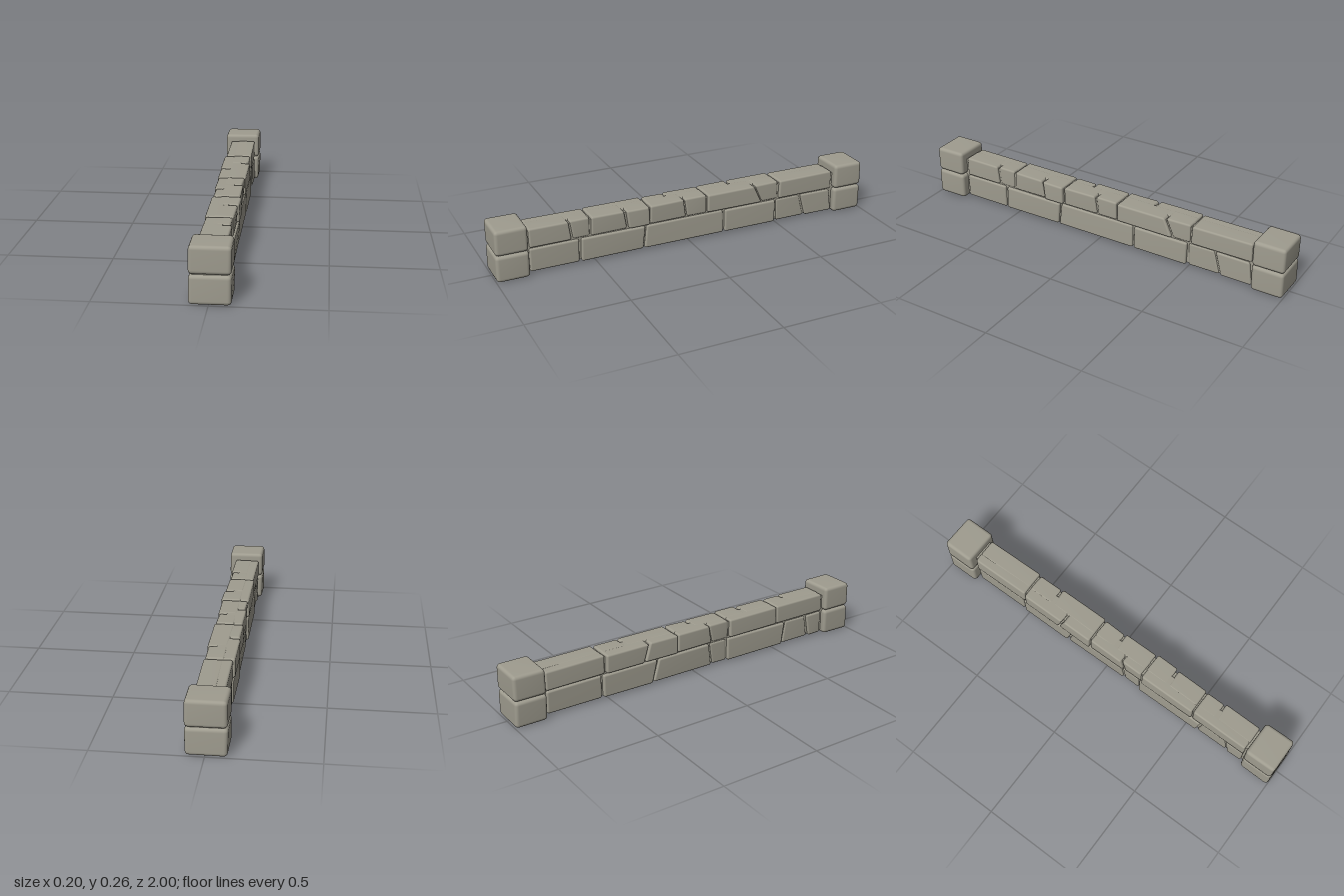
import * as THREE from 'three';
import { mergeVertices } from 'three/addons/utils/BufferGeometryUtils.js';
import { RoundedBoxGeometry } from 'three/addons/geometries/RoundedBoxGeometry.js';

export function createModel() {
  const wall = new THREE.Group();
  wall.name = 'stoneWall';
  const stone = new THREE.MeshStandardMaterial({ color: 0x9f9c8f });
  stone.name = 'warm grey stone';

  // small seeded generator for the hand-cut unevenness
  let seed = 7;
  const rand = () => (seed = (seed * 16807) % 2147483647) / 2147483647;

  // A worn block between two corners: rounded edges, each corner pulled slightly inward.
  // slantMin / slantMax lean the two z ends along y.
  function addStone(parent, name, min, max, radius, wear, slantMin = 0, slantMax = 0) {
    const size = max.map((v, i) => v - min[i]);
    const box = new RoundedBoxGeometry(...size, 2, radius);
    box.deleteAttribute('normal');
    box.deleteAttribute('uv');
    box.clearGroups();
    const geo = mergeVertices(box, 1e-5);
    const pulls = Array.from({ length: 8 }, () => [rand() * wear, rand() * wear * 0.5, rand() * wear]);
    const p = geo.attributes.position;
    for (let i = 0; i < p.count; i++) {
      const v = [p.getX(i), p.getY(i), p.getZ(i)];
      const t = v.map((c, k) => c / size[k] + 0.5);
      const out = [...v];
      for (let c = 0; c < 8; c++) {
        const bit = [c & 1, (c >> 1) & 1, (c >> 2) & 1];
        const w = bit.reduce((a, b, k) => a * (b ? t[k] : 1 - t[k]), 1);
        for (let k = 0; k < 3; k++) out[k] += w * pulls[c][k] * (bit[k] ? -1 : 1);
      }
      out[2] += (t[1] - 0.5) * (slantMin * (1 - t[2]) + slantMax * t[2]);
      p.setXYZ(i, ...out.map((c, k) => c + (min[k] + max[k]) / 2));
    }
    geo.computeVertexNormals();
    const mesh = new THREE.Mesh(geo, stone);
    mesh.name = name;
    parent.add(mesh);
  }

  // A row of stones; seams are [z, slant, outward offset of the stone that starts here]
  function addCourse(name, seams, y0, y1, side) {
    const course = new THREE.Group();
    course.name = name;
    for (let i = 0; i < seams.length - 1; i++) {
      const [z0, s0, bulge] = seams[i];
      const [z1, s1] = seams[i + 1];
      const face = 0.068 + bulge;
      const xs = side > 0 ? [-0.03, face] : [-face, 0.03];
      addStone(course, 'stone', [xs[0], y0, z0 + 0.002], [xs[1], y1, z1 - 0.002], 0.01, 0.005, s0, s1);
    }
    wall.add(course);
  }

  // lower course, left and right faces
  addCourse('lowerCourseLeft', [
    [-0.83, 0.015, 0], [-0.655, 0.035, -0.006], [-0.495, 0, 0.002], [-0.195, 0, 0],
    [0.24, -0.01, 0.002], [0.575, 0, 0], [0.83, 0, 0],
  ], 0.008, 0.13, 1);
  addCourse('lowerCourseRight', [
    [-0.83, 0, 0.002], [-0.53, 0, 0.006], [-0.23, 0.03, 0], [0.1, -0.02, -0.006],
    [0.2, 0, 0.003], [0.57, 0.02, -0.004], [0.73, -0.02, 0], [0.83, 0, 0],
  ], 0.009, 0.129, -1);

  // upper course, left and right faces
  addCourse('upperCourseLeft', [
    [-0.83, 0, 0], [-0.51, 0, -0.003], [-0.39, 0.045, 0.006], [-0.1, 0, -0.003],
    [0.02, 0.015, 0], [0.212, 0, 0.008], [0.335, 0.015, 0], [0.52, 0, -0.006],
    [0.62, 0.015, 0], [0.83, 0, 0],
  ], 0.133, 0.231, 1);
  addCourse('upperCourseRight', [
    [-0.83, 0, 0.004], [-0.51, 0, 0.012], [-0.28, 0.03, 0.009], [-0.1, 0, 0.002],
    [0.1, -0.02, -0.003], [0.212, 0, 0.004], [0.52, 0, 0], [0.83, 0, 0],
  ], 0.132, 0.23, -1);

  // core that closes the joints
  const core = new THREE.Mesh(new THREE.BoxGeometry(0.108, 0.2, 1.72), stone);
  core.name = 'jointCore';
  core.position.y = 0.118;
  wall.add(core);

  // end posts, two blocks each, set slightly off to opposite sides
  for (const end of [1, -1]) {
    const post = new THREE.Group();
    post.name = end > 0 ? 'frontPost' : 'backPost';
    const x0 = end > 0 ? -0.088 : -0.1;
    const z0 = end > 0 ? 0.834 : -1;
    addStone(post, 'lowerBlock', [x0, 0, z0], [x0 + 0.188, 0.134, z0 + 0.166], 0.018, 0.004);
    addStone(post, 'upperBlock', [x0, 0.134, z0], [x0 + 0.188, 0.263, z0 + 0.166], 0.018, 0.004);
    const joint = new THREE.Mesh(new THREE.BoxGeometry(0.15, 0.04, 0.13), stone);
    joint.name = 'postJoint';
    joint.position.set(x0 + 0.094, 0.134, z0 + 0.083);
    post.add(joint);
    wall.add(post);
  }
  return wall;
}
